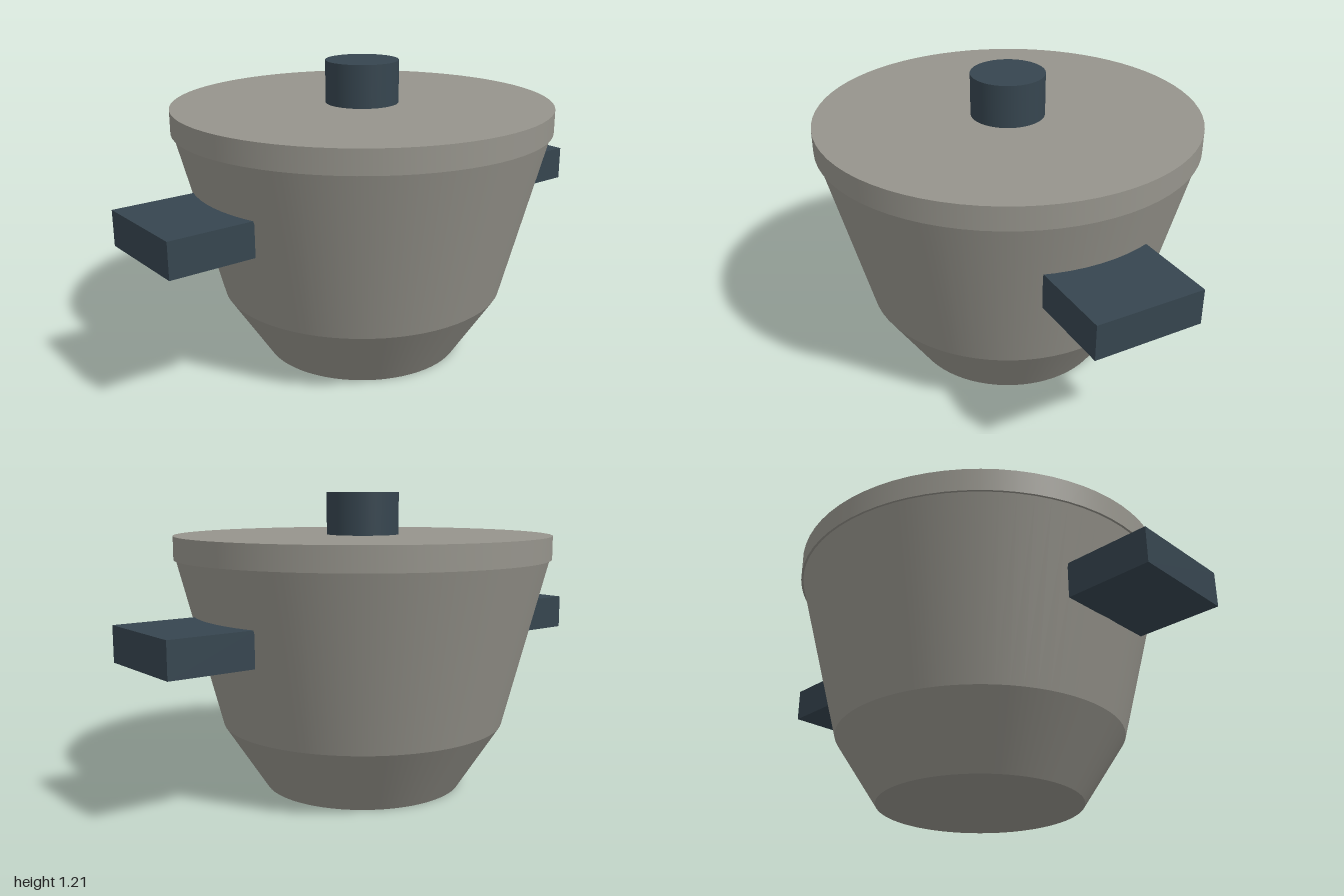
import * as THREE from 'three';

export function createModel() {
  const model = new THREE.Group();
  model.name = 'cookingPot';

  const metal = new THREE.MeshStandardMaterial({ color: 0x96948c });
  metal.name = 'warm grey metal';
  const grip = new THREE.MeshStandardMaterial({ color: 0x36454f });
  grip.name = 'charcoal grip';

  function add(name, geometry, material, x, y, z) {
    const mesh = new THREE.Mesh(geometry, material);
    mesh.name = name;
    mesh.position.set(x, y, z);
    model.add(mesh);
  }

  // Round sections stacked from the ground up: [name, bottom y, top y, bottom radius, top radius, material]
  const sections = [
    ['taperedBase', 0, 0.265, 0.408, 0.58, metal],
    ['potBody', 0.265, 0.942, 0.58, 0.755, metal],
    ['lid', 0.942, 1.035, 0.764, 0.764, metal],
    ['lidKnob', 1.035, 1.205, 0.147, 0.147, grip],
  ];
  for (const [name, y0, y1, r0, r1, material] of sections) {
    add(name, new THREE.CylinderGeometry(r1, r0, y1 - y0, 72), material, 0, (y0 + y1) / 2, 0);
  }

  // Block handles, one on each side
  for (const side of [1, -1]) {
    add(side > 0 ? 'leftHandle' : 'rightHandle', new THREE.BoxGeometry(0.34, 0.14, 0.432), grip, side * 0.83, 0.655, 0);
  }

  return model;
}
